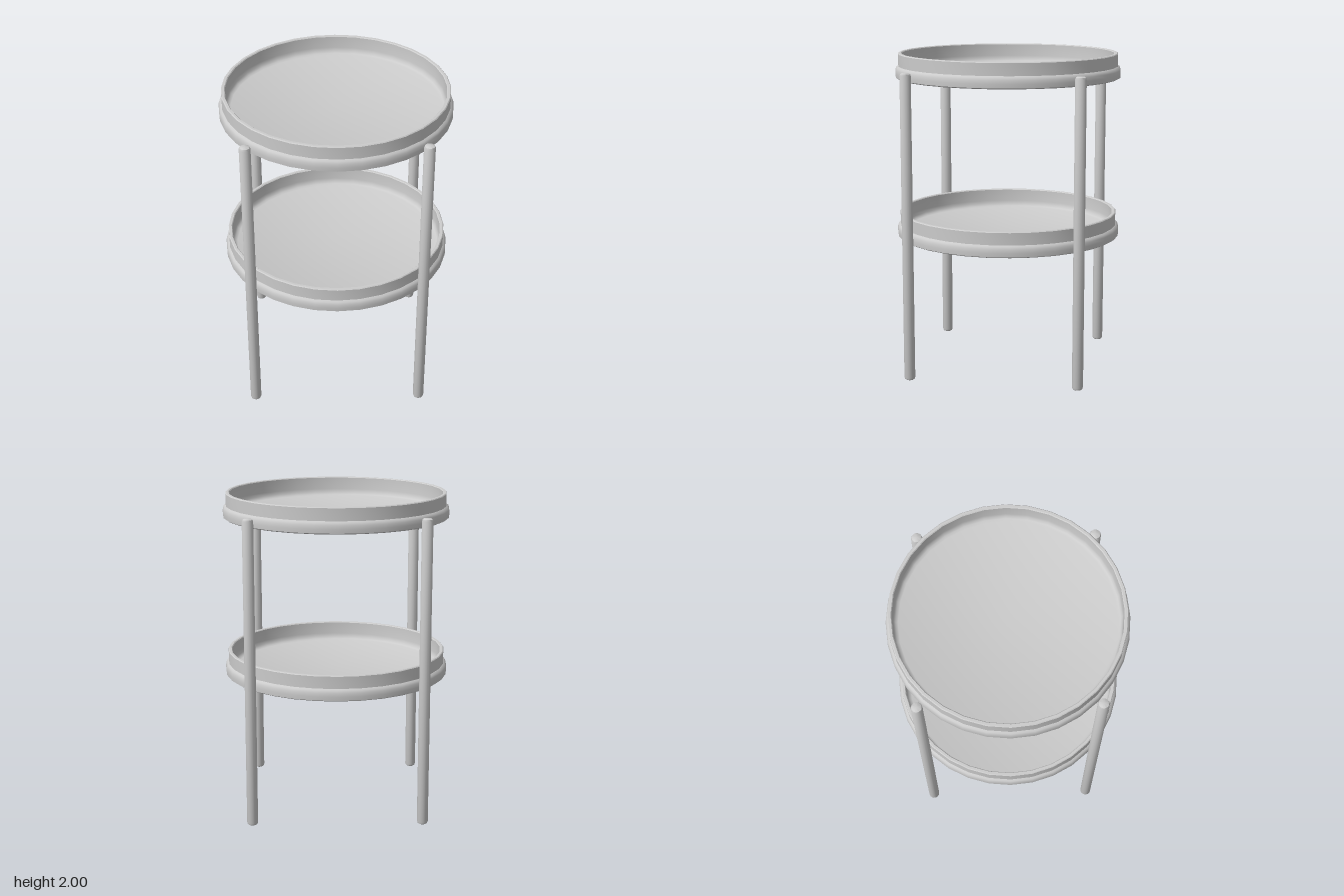
import * as THREE from 'three';
import { toCreasedNormals } from 'three/addons/utils/BufferGeometryUtils.js';

const material = new THREE.MeshStandardMaterial({ color: 0xcccccc });

// Revolve a profile of [radius, height] points, keeping sharp edges
function revolve(name, profile, segments) {
  const points = profile.map(([r, y]) => new THREE.Vector2(r, y));
  const geometry = toCreasedNormals(new THREE.LatheGeometry(points, segments), 0.6);
  const mesh = new THREE.Mesh(geometry, material);
  mesh.name = name;
  return mesh;
}

// Round tray: flat base, bulged lower band, thin upright rim, filleted floor
const trayProfile = [
  [0, 0], [0.695, 0], [0.705, 0.006], [0.707, 0.03], [0.705, 0.052],
  [0.699, 0.067], [0.688, 0.075], [0.688, 0.15], [0.683, 0.155],
  [0.669, 0.155], [0.664, 0.15], [0.664, 0.075],
  [0.66, 0.055], [0.65, 0.041], [0.635, 0.035], [0, 0.035],
];

// Slim post with softened ends
const legProfile = [
  [0, 0], [0.022, 0], [0.03, 0.005], [0.034, 0.017],
  [0.034, 1.893], [0.03, 1.905], [0.022, 1.91], [0, 1.91],
];

export function createModel() {
  const model = new THREE.Group();
  model.name = 'sideTable';

  // Lower and upper trays
  for (const [name, y] of [['lowerTray', 0.845], ['upperTray', 1.845]]) {
    const tray = revolve(name, trayProfile, 32);
    tray.position.y = y;
    model.add(tray);
  }

  // Four legs standing just outside the trays
  ['leftLeg', 'frontLeg', 'rightLeg', 'backLeg'].forEach((name, i) => {
    const angle = (i * Math.PI) / 2;
    const leg = revolve(name, legProfile, 20);
    leg.position.set(0.745 * Math.cos(angle), 0, 0.745 * Math.sin(angle));
    model.add(leg);
  });

  return model;
}
